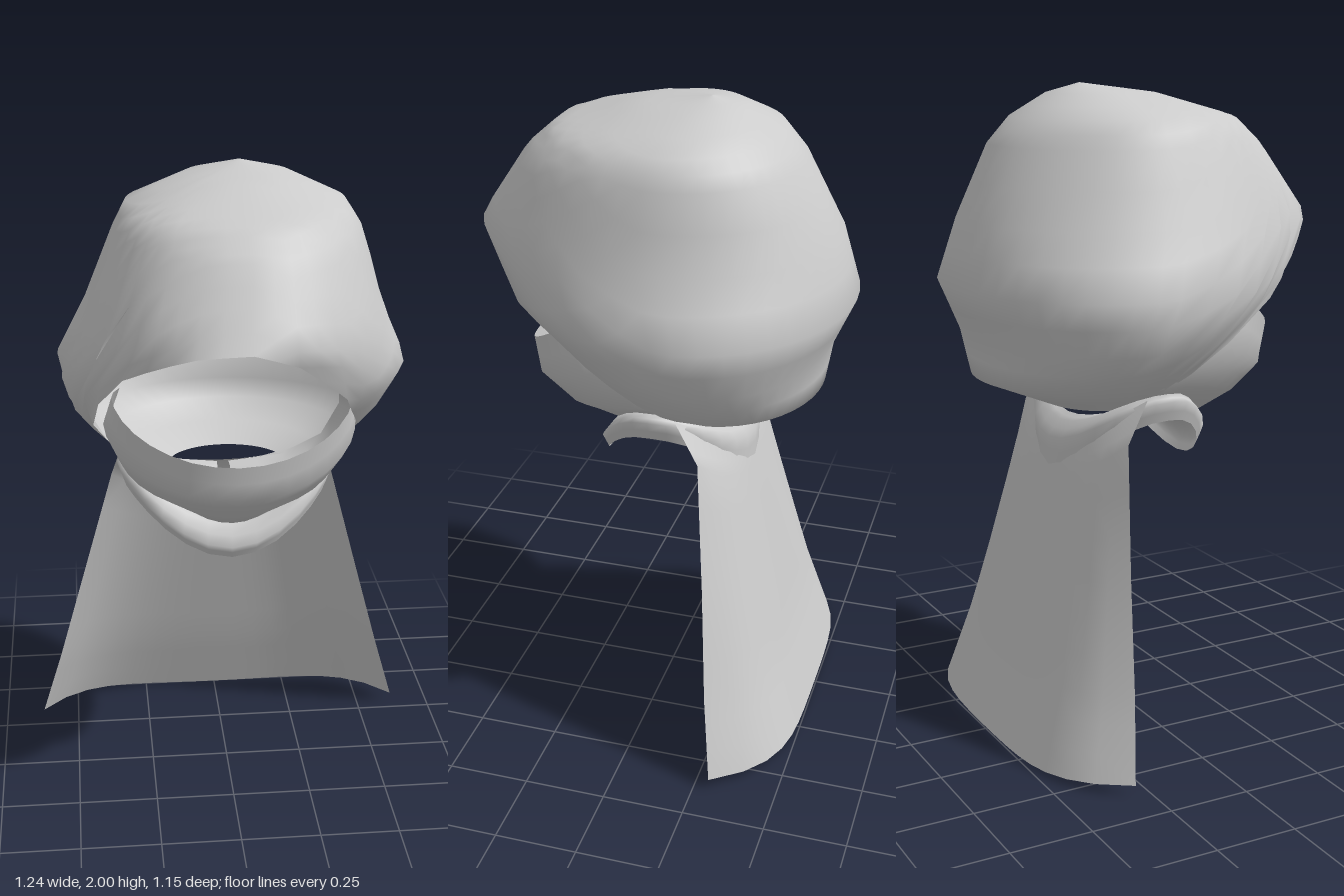
import * as THREE from 'three';

const material = new THREE.MeshStandardMaterial({ color: 0xcccccc, side: THREE.DoubleSide });
const { lerp } = THREE.MathUtils;

// Read a table of rows [key, ...values] at a key, blending between rows
function sample(table, key) {
  let i = 0;
  while (i < table.length - 2 && key > table[i + 1][0]) i++;
  const a = table[i], b = table[i + 1];
  const t = Math.min(1, Math.max(0, (key - a[0]) / (b[0] - a[0])));
  return a.slice(1).map((v, k) => lerp(v, b[k + 1], t));
}

// Sheet of rows x columns; point(u, v) gives a position, v wraps when closed
function sheet(name, rows, cols, closed, point) {
  const pos = [], index = [];
  const width = closed ? cols : cols + 1;
  for (let r = 0; r <= rows; r++)
    for (let c = 0; c < width; c++) pos.push(...point(r / rows, c / cols));
  for (let r = 0; r < rows; r++)
    for (let c = 0; c < cols; c++) {
      const d = (c + 1) % width;
      const p = r * width + c, q = r * width + d;
      index.push(p, p + width, q, q, p + width, q + width);
    }
  const geometry = new THREE.BufferGeometry();
  geometry.setAttribute('position', new THREE.Float32BufferAttribute(pos, 3));
  geometry.setIndex(index);
  geometry.computeVertexNormals();
  const mesh = new THREE.Mesh(geometry, material);
  mesh.name = name;
  return mesh;
}

// Hood rings from crown to neck: step, y, right x, left x, front z, back z
const hoodRings = [
  [0, 2.0, 0.05, 0.05, -0.13, -0.13],
  [1, 1.97, -0.12, 0.2, 0.1, -0.23],
  [2, 1.9, -0.3, 0.36, 0.34, -0.34],
  [3, 1.82, -0.34, 0.41, 0.43, -0.41],
  [4, 1.6, -0.43, 0.47, 0.58, -0.52],
  [5, 1.41, -0.52, 0.56, 0.48, -0.57],
  [6, 1.25, -0.48, 0.5, 0.3, -0.5],
  [7, 1.12, -0.36, 0.39, 0.2, -0.48],
  [8, 1.03, -0.18, 0.2, 0.1, -0.26],
];
// Ring step where the hood ends, by angle from the front on each side
const leftEdge = [[0, 3.97], [0.25, 4.15], [0.5, 4.75], [0.75, 5.7], [1.1, 6.6], [1.35, 7.5], [1.6, 8], [3.15, 8]];
const rightEdge = [[0, 3.97], [0.25, 4.0], [0.5, 4.25], [0.75, 4.65], [0.95, 5.7], [1.15, 6.7], [1.35, 7.5], [1.6, 8], [3.15, 8]];

function hood() {
  return sheet('hood', 16, 44, true, (u, v) => {
    const angle = (v - 0.5) * Math.PI * 2;
    const s = Math.sin(angle), c = Math.cos(angle);
    const [end] = sample(angle > 0 ? leftEdge : rightEdge, Math.abs(angle));
    const [y, xr, xl, zf, zb] = sample(hoodRings, u * end);
    const cx = (xl + xr) / 2, cz = lerp(zb, zf, 0.45);
    // the right front corner is squarer than the left
    const power = c > 0 && s < 0 ? 0.85 : 1;
    const round = (k) => Math.sign(k) * Math.abs(k) ** power;
    return [cx + (xl - xr) / 2 * round(s), y, cz + (c > 0 ? zf - cz : cz - zb) * round(c)];
  });
}

// Chin guard rows: step, half width, side z, front z, side y, front y
const chinRows = [
  [0, 0.36, 0.2, 0.42, 1.37, 1.22],
  [1, 0.385, 0.1, 0.41, 1.25, 1.11],
  [2, 0.34, 0.02, 0.33, 1.12, 1.04],
  [3, 0.2, -0.04, 0.2, 1.04, 0.95],
  [4, 0.02, -0.1, 0.0, 1.02, 0.98],
];

function chinGuard() {
  return sheet('chinGuard', 8, 20, false, (u, v) => {
    const a = (v - 0.5) * Math.PI * 1.25;
    const [w, zs, zf, ys, yf] = sample(chinRows, u * 4);
    const c = Math.cos(a);
    return [w * Math.sin(a), lerp(ys, yf, Math.max(0, c) ** 1.3), lerp(zs, zf, c)];
  });
}

// Collar rows: step, half width, front z, back z, side y, front y, back y
const collarRows = [
  [0, 0.28, 0.11, -0.2, 1.06, 0.95, 1.0],
  [1, 0.32, 0.17, -0.23, 1.1, 0.93, 0.98],
  [2, 0.345, 0.21, -0.27, 1.08, 0.87, 0.93],
  [3, 0.325, 0.19, -0.27, 1.02, 0.83, 0.84],
];

function collar() {
  return sheet('collar', 6, 28, true, (u, v) => {
    const a = v * Math.PI * 2, s = Math.sin(a), c = Math.cos(a);
    const [w, zf, zb, ys, yf, yb] = sample(collarRows, u * 3);
    const y = lerp(ys, c > 0 ? yf : yb, Math.abs(c) ** 2.3);
    return [w * s, y, -0.02 + (c > 0 ? zf + 0.02 : -0.02 - zb) * c];
  });
}

// Cape rows: step, half width, side y, middle y, side z, middle z, edge curl
const capeRows = [
  [0, 0.33, 1.09, 0.95, -0.1, -0.24, 2.2],
  [1, 0.36, 0.97, 0.82, -0.18, -0.275, 2.6],
  [2, 0.46, 0.6, 0.52, -0.225, -0.35, 3.4],
  [3, 0.55, 0.27, 0.24, -0.26, -0.42, 4.2],
  [4, 0.62, 0.03, 0.0, -0.295, -0.495, 4.6],
];

function cape() {
  return sheet('cape', 12, 16, false, (u, v) => {
    const t = v * 2 - 1;
    const [w, ys, ym, zs, zm, curl] = sample(capeRows, u * 4);
    return [w * t, lerp(ym, ys, t * t), lerp(zm, zs, Math.abs(t) ** curl)];
  });
}

export function createModel() {
  const group = new THREE.Group();
  group.name = 'hoodedCape';
  group.add(hood(), chinGuard(), collar(), cape());
  return group;
}
